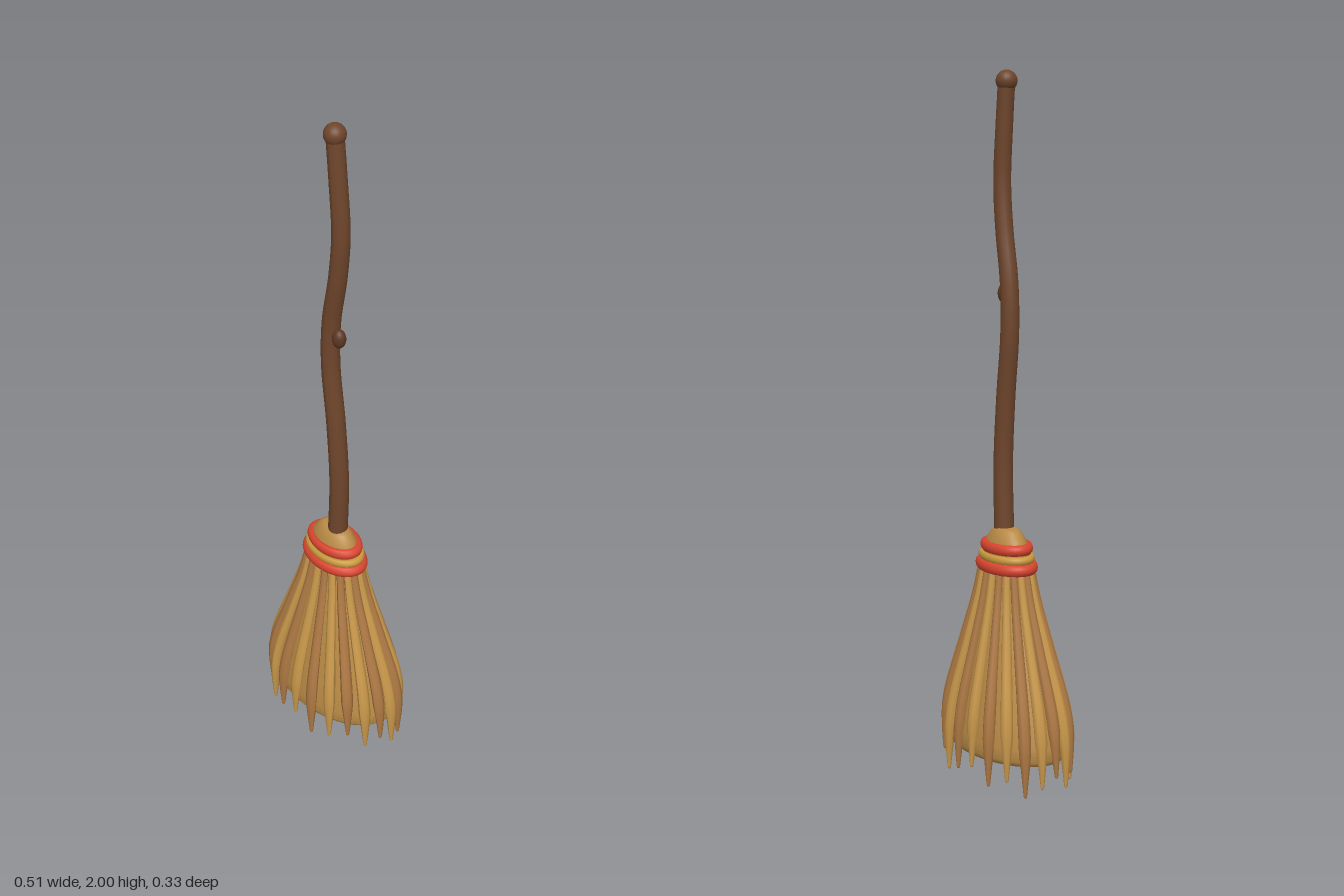
import * as THREE from 'three';

const mat = (name, color) => Object.assign(new THREE.MeshStandardMaterial({ color }), { name });

// Tube whose radius follows radiusAt(t) along the curve
function taperedTube(curve, radiusAt, segments, sides) {
  const geo = new THREE.TubeGeometry(curve, segments, 1, sides, false);
  const pos = geo.attributes.position;
  const v = new THREE.Vector3();
  for (let i = 0; i <= segments; i++) {
    const centre = curve.getPointAt(i / segments);
    const r = radiusAt(i / segments);
    for (let j = 0; j <= sides; j++) {
      const k = i * (sides + 1) + j;
      v.fromBufferAttribute(pos, k).sub(centre).multiplyScalar(r).add(centre);
      pos.setXYZ(k, v.x, v.y, v.z);
    }
  }
  geo.computeVertexNormals();
  return geo;
}

export function createModel() {
  const model = new THREE.Group();
  model.name = 'broom';
  const wood = mat('brown wood', 0x6e452b);
  const knotWood = mat('dark knot wood', 0x5c3822);
  const straw = mat('golden straw', 0xc8974a);
  const darkStraw = mat('brown straw', 0xad7843);
  const coreStraw = mat('core straw', 0xb98a45);
  const red = mat('red binding', 0xd8452f);
  const gold = mat('gold binding', 0xc9983c);

  const add = (parent, name, geo, material) => {
    const mesh = new THREE.Mesh(geo, material);
    mesh.name = name;
    parent.add(mesh);
    return mesh;
  };

  // Crooked handle with a round end and a side knot
  const handlePath = new THREE.CatmullRomCurve3([
    [0.01, 0.66], [0.018, 0.9], [0.004, 1.1], [-0.017, 1.28], [-0.014, 1.42],
    [0.012, 1.57], [0.023, 1.7], [0.012, 1.85], [0, 1.97],
  ].map(([x, y]) => new THREE.Vector3(x, y, 0)));
  add(model, 'handle', taperedTube(handlePath, t => 0.029 - 0.005 * t, 64, 16), wood);
  add(model, 'handleKnob', new THREE.SphereGeometry(0.03, 20, 14), wood).position.set(0, 1.97, 0);
  const knot = add(model, 'handleKnot', new THREE.SphereGeometry(0.02, 16, 12), knotWood);
  knot.position.set(0.028, 1.39, 0.01);
  knot.scale.set(1, 1.4, 0.95);

  // Solid oval core of the brush, closed above and below
  const profile = [
    [0, 0.09], [0.225, 0.09], [0.238, 0.105], [0.238, 0.14], [0.222, 0.21], [0.185, 0.33],
    [0.15, 0.43], [0.117, 0.53], [0.095, 0.6], [0.088, 0.66], [0.076, 0.695],
    [0.055, 0.72], [0.04, 0.727], [0, 0.727],
  ].map(p => new THREE.Vector2(...p));
  add(model, 'brushCore', new THREE.LatheGeometry(profile, 48), coreStraw).scale.z = 0.62;

  // Ring of tapered straws with uneven tips
  const straws = new THREE.Group();
  straws.name = 'straws';
  model.add(straws);
  const count = 22;
  const strawRadius = t => t < 0.7
    ? 0.01 + 0.008 * (t / 0.7)
    : t < 0.8 ? 0.018 : 0.018 - 0.013 * ((t - 0.8) / 0.2);
  for (let i = 0; i < count; i++) {
    const angle = (i / count) * Math.PI * 2 - 0.09;
    const tip = 0.005 + 0.065 * ((i * 0.618 + 0.06) % 1);
    const path = new THREE.CatmullRomCurve3([
      [0.09, 0.64], [0.117, 0.53], [0.162, 0.4], [0.225, 0.22], [0.242, 0.12], [0.246, tip],
    ].map(([r, y]) => new THREE.Vector3(r * Math.cos(angle), y, r * 0.625 * Math.sin(angle))));
    const strand = new THREE.Group();
    strand.name = 'straw';
    straws.add(strand);
    const material = i % 2 ? darkStraw : straw;
    add(strand, 'strawStem', taperedTube(path, strawRadius, 24, 8), material);
    add(strand, 'strawTip', new THREE.SphereGeometry(0.005, 8, 6), material)
      .position.copy(path.getPoint(1));
  }

  // Oval bindings around the neck
  for (const [name, radius, tube, y, material] of [
    ['lowerBinding', 0.099, 0.017, 0.62, red],
    ['middleBinding', 0.093, 0.012, 0.646, gold],
    ['upperBinding', 0.082, 0.016, 0.674, red],
  ]) {
    const ring = new THREE.TorusGeometry(radius, tube, 12, 48).rotateX(Math.PI / 2);
    const band = add(model, name, ring, material);
    band.position.y = y;
    band.scale.z = 0.66;
  }
  return model;
}
